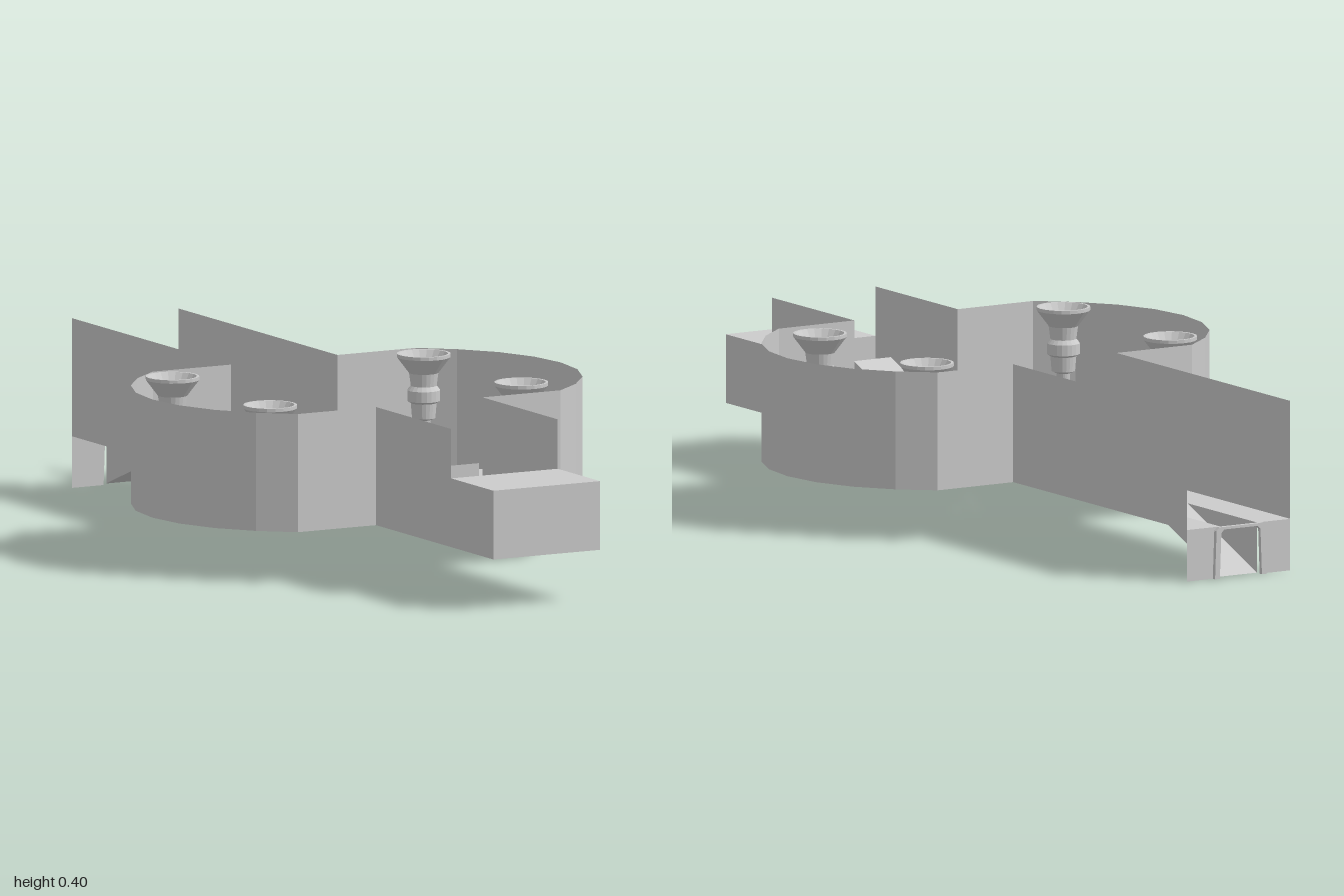
import * as THREE from 'three';

const FLOOR = 0.12, TOP = 0.395, STEP = 0.28, CZ = 0.1025;
const mat = new THREE.MeshStandardMaterial({ color: 0xcccccc, flatShading: true, side: THREE.DoubleSide });

function add(parent, name, geometry, x = 0, y = 0, z = 0) {
  const mesh = new THREE.Mesh(geometry, mat);
  mesh.name = name;
  mesh.position.set(x, y, z);
  parent.add(mesh);
  return mesh;
}

// Flat-shaded surface from a list of four-cornered faces
function quads(list) {
  const pos = [];
  for (const [a, b, c, d] of list) pos.push(...a, ...b, ...c, ...a, ...c, ...d);
  const g = new THREE.BufferGeometry();
  g.setAttribute('position', new THREE.Float32BufferAttribute(pos, 3));
  g.computeVertexNormals();
  return g;
}

// Upright wall following a plan path of [x, z] points
function wall(path, y0, y1) {
  return quads(path.slice(1).map(([x, z], i) => {
    const [px, pz] = path[i];
    return [[px, y0, pz], [x, y0, z], [x, y1, z], [px, y1, pz]];
  }));
}

// Sloping strip over the floor slot, with cheeks down (or up) to floor level
function ramp(profile, w) {
  const list = [];
  for (let i = 1; i < profile.length; i++) {
    const [z0, y0] = profile[i - 1], [z1, y1] = profile[i];
    list.push([[-w, y0, z0], [w, y0, z0], [w, y1, z1], [-w, y1, z1]]);
    for (const x of [-w, w])
      list.push([[x, FLOOR, z0], [x, FLOOR, z1], [x, y1, z1], [x, y0, z0]]);
  }
  return quads(list);
}

// Horizontal sheet or slab from a plan outline of [x, z] points
function plan(points, depth = 0) {
  const shape = new THREE.Shape(points.map(([x, z]) => new THREE.Vector2(x, z)));
  const g = depth
    ? new THREE.ExtrudeGeometry(shape, { depth, bevelEnabled: false })
    : new THREE.ShapeGeometry(shape);
  return g.rotateX(Math.PI / 2);
}

export function createModel() {
  const model = new THREE.Group();
  model.name = 'chamberWithCorridor';

  // Half plan: rear corridor, rounded chamber side, front corridor
  const half = [[0.14, -0.99], [0.14, -0.24]];
  for (let i = -4; i <= 4; i++) {
    const a = i * Math.PI / 12;
    half.push([0.137 + 0.4 * Math.cos(a), CZ + 0.4 * Math.sin(a) * 0.99]);
  }
  half.push([0.14, 0.445], [0.14, 0.8]);
  half[2] = [0.345, -0.24];
  half[10] = [0.345, 0.445];
  const mirrored = half.map(([x, z]) => [-x, z]);

  // Floor with a long slot widening under the centre
  const slot = [[0.05, 0.59], [0.05, 0.19], [0.09, 0.19], [0.09, 0.01], [0.05, 0.01], [0.05, -0.99]];
  const slotLeft = slot.map(([x, z]) => [-x, z]).reverse();
  add(model, 'floor', plan([...half, ...mirrored.slice().reverse(), ...slotLeft, ...slot]), 0, FLOOR, 0);

  add(model, 'leftWall', wall(half, FLOOR, TOP));
  add(model, 'rightWall', wall(mirrored, FLOOR, TOP));

  // Raised front step, open underneath
  const step = new THREE.Group();
  step.name = 'frontStep';
  model.add(step);
  add(step, 'stepSides', wall([[-0.14, 0.8], [0.14, 0.8], [0.14, 1], [-0.14, 1], [-0.14, 0.8]], FLOOR, STEP));
  add(step, 'stepTop', plan([[-0.14, 0.8], [0.14, 0.8], [0.14, 1], [-0.14, 1]]), 0, STEP, 0);

  // Slot ramps
  add(model, 'frontRamp', ramp([[0.21, 0.125], [0.59, 0.27], [0.59, FLOOR]], 0.05));
  add(model, 'rearRamp', ramp([[0.0, 0.125], [-0.25, 0.165], [-0.43, 0.123], [-0.69, FLOOR], [-0.99, 0.003]], 0.05));

  // Rear gate: panel with a rounded opening and a raised lip
  const arch = (w, h, r) => [[-w - 0.004, 0], [-w, h - r], [-w + r, h], [w - r, h], [w, h - r], [w + 0.004, 0]]
    .map(([x, y]) => new THREE.Vector2(x, y));
  const panel = new THREE.Shape([
    new THREE.Vector2(0.14, 0), new THREE.Vector2(0.14, FLOOR),
    new THREE.Vector2(-0.14, FLOOR), new THREE.Vector2(-0.14, 0), ...arch(0.053, 0.114, 0.008)]);
  add(model, 'rearPanel', new THREE.ShapeGeometry(panel), 0, 0, -0.99);
  const lip = new THREE.Shape([...arch(0.066, 0.12, 0.008), ...arch(0.053, 0.114, 0.008).reverse()]);
  add(model, 'gateLip', new THREE.ExtrudeGeometry(lip, { depth: 0.01, bevelEnabled: false }), 0, 0, -1);

  // Four turned posts with flared, hollow cups
  const profile = [
    [0, 0], [0.03, 0], [0.03, 0.012], [0.016, 0.018], [0.014, 0.075], [0.022, 0.08], [0.022, 0.092],
    [0.014, 0.098], [0.016, 0.125], [0.027, 0.13], [0.03, 0.165], [0.038, 0.17], [0.038, 0.195],
    [0.03, 0.205], [0.034, 0.235], [0.062, 0.272], [0.062, 0.28], [0.056, 0.28], [0.044, 0.262],
    [0.028, 0.25], [0.026, 0.235], [0.014, 0.235], [0.012, 0.245], [0, 0.245]
  ].map(([r, y]) => new THREE.Vector2(r, y));
  const post = new THREE.LatheGeometry(profile, 20);
  for (const x of [-0.35, 0.31])
    for (const z of [-0.138, 0.323]) add(model, 'post', post, x, FLOOR, z);

  // Low round pads at both sides
  const pad = new THREE.CylinderGeometry(0.087, 0.087, 0.01, 32);
  for (const x of [-0.44, 0.407]) add(model, 'sidePad', pad, x, FLOOR + 0.005, 0.098);

  // Centre device: round base wings, stepped collar, raised plate, corner brackets
  const centre = new THREE.Group();
  centre.name = 'centreDevice';
  centre.position.set(0, FLOOR, CZ);
  model.add(centre);
  for (const s of [-1, 1]) {
    const wing = [[s * 0.09, -0.09]];
    for (let i = -5; i <= 5; i++) {
      const a = i * Math.PI / 5 / 5;
      wing.push([s * 0.178 * Math.cos(a), 0.178 * Math.sin(a) * 0.9]);
    }
    wing.push([s * 0.09, 0.09]);
    add(centre, 'baseWing', plan(wing, 0.01), 0, 0.01, 0);
    add(centre, 'collarSide', new THREE.BoxGeometry(0.026, 0.02, 0.23), s * 0.103, 0.01, 0);
    add(centre, 'collarEnd', new THREE.BoxGeometry(0.18, 0.02, 0.018), 0, 0.01, s * 0.1);
    for (const t of [-1, 1]) {
      add(centre, 'bracket', new THREE.BoxGeometry(0.03, 0.035, 0.012), s * 0.073, 0.025, t * 0.082);
      add(centre, 'bracket', new THREE.BoxGeometry(0.012, 0.035, 0.03), s * 0.082, 0.025, t * 0.073);
    }
  }
  add(centre, 'centrePlate', new THREE.BoxGeometry(0.172, 0.012, 0.172), 0, 0.02, 0);

  // Small pin behind the centre
  add(model, 'pin', new THREE.CylinderGeometry(0.008, 0.008, 0.025, 12), 0, 0.14, -0.04);
  return model;
}
